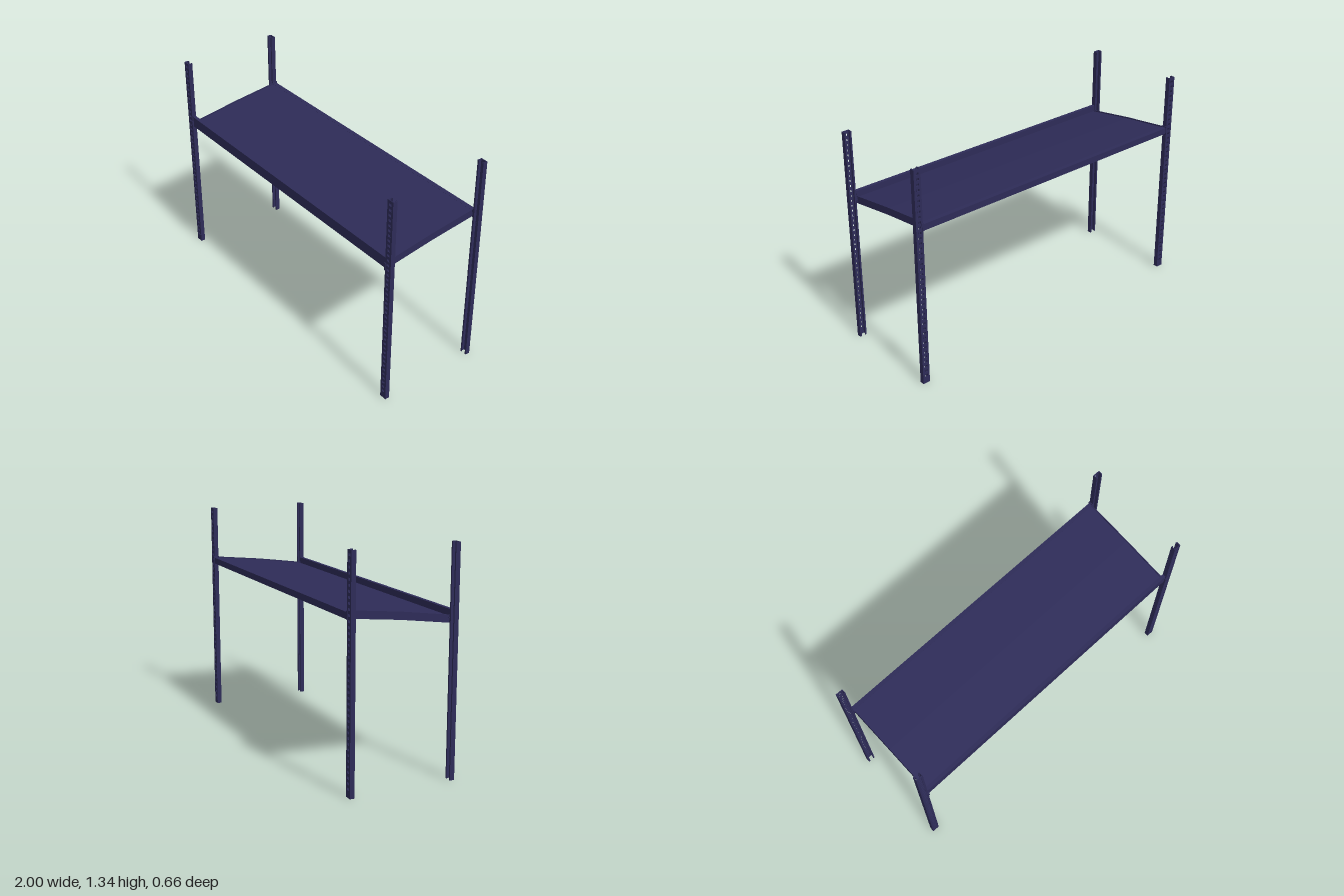
import * as THREE from 'three';

const material = new THREE.MeshStandardMaterial({ color: 0x2e2c58 });
const POST_H = 1.34;

function addMesh(parent, name, geometry) {
  const mesh = new THREE.Mesh(geometry, material);
  mesh.name = name;
  parent.add(mesh);
  return mesh;
}

// Box given by its minimum and maximum corners
function addBox(parent, name, [x0, y0, z0], [x1, y1, z1]) {
  const g = new THREE.BoxGeometry(x1 - x0, y1 - y0, z1 - z0);
  g.translate((x0 + x1) / 2, (y0 + y1) / 2, (z0 + z1) / 2);
  return addMesh(parent, name, g);
}

// Profile of (z, y) points swept along x
function addSweep(parent, name, points, x0, x1) {
  const shape = new THREE.Shape(points.map(([z, y]) => new THREE.Vector2(z, y)));
  const g = new THREE.ExtrudeGeometry(shape, { depth: x1 - x0, bevelEnabled: false });
  g.rotateY(-Math.PI / 2);
  g.translate(x1, 0, 0);
  return addMesh(parent, name, g);
}

// Slope of the shelf: two straight runs meeting at the middle, with a drop below the rail top
const slope = [[0.305, 0.936], [0, 0.982], [-0.305, 1.018]];
function slopedBand(top, bottom) {
  const upper = slope.map(([z, y]) => [z, y - top]);
  const lower = slope.map(([z, y]) => [z, y - bottom]).reverse();
  return [...upper, ...lower];
}

// Perforated channel post, centred on x = 0, outer face at z = 0, open towards -z
function makePost() {
  const post = new THREE.Group();
  const half = 0.0225, t = 0.004, depth = 0.028;
  const web = new THREE.Shape();
  web.moveTo(-half, 0);
  web.lineTo(half, 0);
  web.lineTo(half, POST_H);
  web.lineTo(-half, POST_H);
  web.closePath();
  for (let i = 0; i < 41; i++) {
    const y = 0.05 + i * 0.0316, w = 0.010, h = 0.007;
    const hole = new THREE.Path();
    hole.moveTo(-w, y - h);
    hole.lineTo(-w, y + h);
    hole.lineTo(w, y + h);
    hole.lineTo(w, y - h);
    hole.closePath();
    web.holes.push(hole);
  }
  const g = new THREE.ExtrudeGeometry(web, { depth: t, bevelEnabled: false });
  g.translate(0, 0, -t);
  addMesh(post, 'postWeb', g);
  for (const s of [-1, 1]) {
    const fx = [s * half, s * (half - t)].sort((a, b) => a - b);
    const lx = [s * (half - t), s * (half - 0.010)].sort((a, b) => a - b);
    addBox(post, 'postFlange', [fx[0], 0, -depth], [fx[1], POST_H, -t]);
    addBox(post, 'postLip', [lx[0], 0, -depth], [lx[1], POST_H, -depth + t]);
  }
  return post;
}

export function createModel() {
  const model = new THREE.Group();
  model.name = 'slopedShelfRack';

  // Four corner posts, open sides facing inwards
  for (const sx of [-1, 1]) {
    for (const sz of [-1, 1]) {
      const post = makePost();
      post.name = (sz > 0 ? 'front' : 'back') + (sx > 0 ? 'Left' : 'Right') + 'Post';
      post.position.set(sx * 0.9775, 0, sz * 0.328);
      if (sz < 0) post.rotation.y = Math.PI;
      model.add(post);
    }
  }

  // Shelf panel and its lengthwise support underneath
  addSweep(model, 'shelfPanel', slopedBand(0.007, 0.012), -0.946, 0.946);
  addBox(model, 'centreSupport', [-0.944, 0.945, -0.008], [0.944, 0.971, 0.008]);

  // Front beam stands above the panel as a stop
  addSweep(model, 'frontBeam', [
    [0.323, 0.901], [0.323, 0.968], [0.301, 0.968], [0.301, 0.924], [0.292, 0.924], [0.292, 0.920],
    [0.301, 0.920], [0.301, 0.901],
  ], -0.953, 0.953);

  // Back beam: channel open towards the shelf
  addSweep(model, 'backBeam', [
    [-0.327, 0.972], [-0.300, 0.972], [-0.300, 0.977], [-0.322, 0.977],
    [-0.322, 1.006], [-0.300, 1.006], [-0.300, 1.011], [-0.327, 1.011],
  ], -0.953, 0.953);

  for (const s of [-1, 1]) {
    const span = (a, b) => [s * a, s * b].sort((p, q) => p - q);

    // Bent side rail with an inward bottom flange
    addSweep(model, 'sideRail', slopedBand(0, 0.045), ...span(0.945, 0.950));
    addSweep(model, 'sideRailFlange', slopedBand(0.041, 0.045), ...span(0.925, 0.945));

    // Clips that hook the shelf onto the posts
    const [x0, x1] = span(0.950, 0.955);
    const [w0, w1] = span(0.950, 0.963);
    for (const [sz, y0, y1] of [[1, 0.894, 0.940], [-1, 0.972, 1.020]]) {
      const zs = [sz * 0.298, sz * 0.328].sort((a, b) => a - b);
      const zf = [sz * 0.328, sz * 0.332].sort((a, b) => a - b);
      addBox(model, 'clipSide', [x0, y0, zs[0]], [x1, y1, zs[1]]);
      addBox(model, 'clipHook', [w0, y0, zf[0]], [w1, y1, zf[1]]);
    }
  }
  return model;
}
